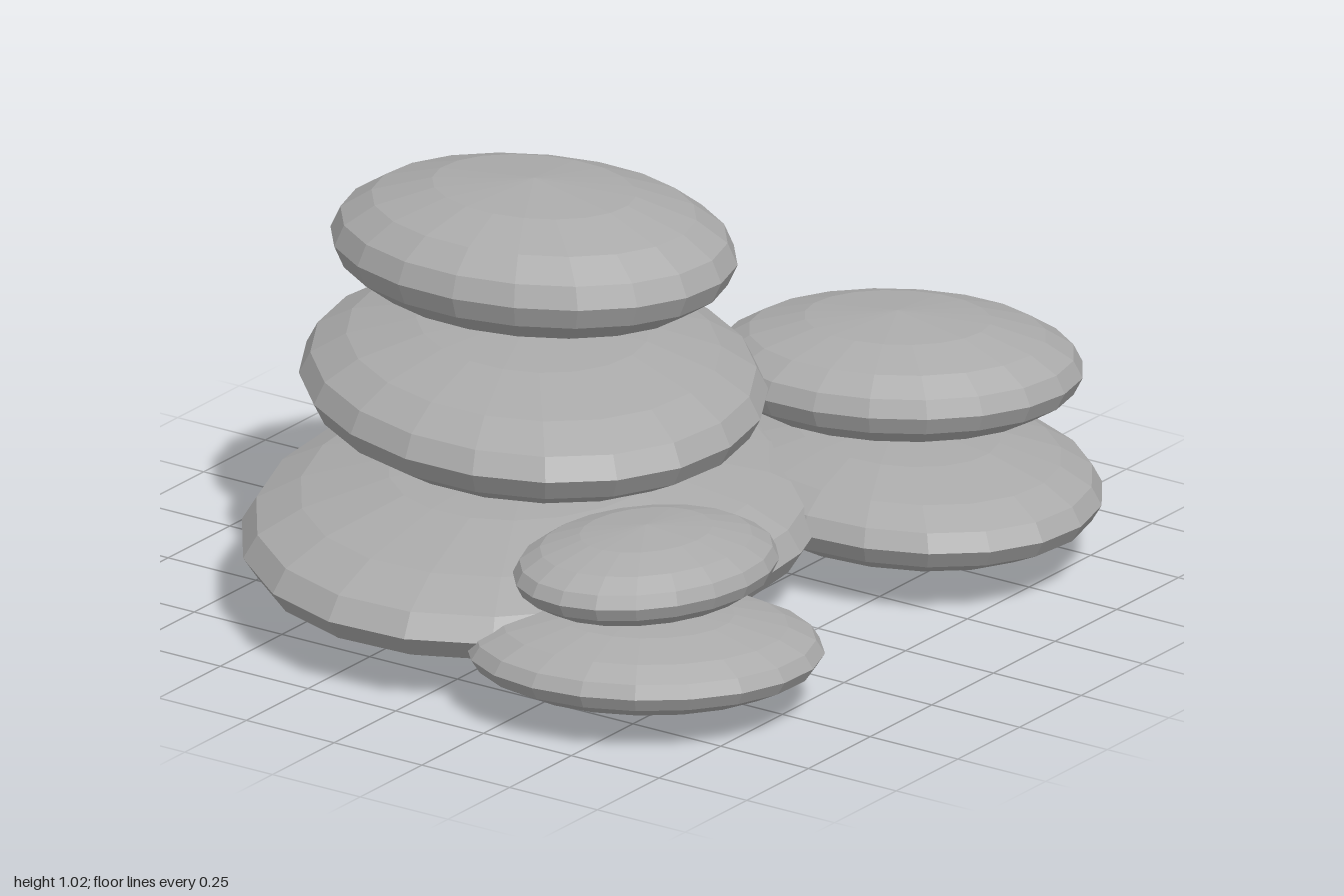
import * as THREE from 'three';

export function createModel() {
  const model = new THREE.Group();
  model.name = 'stackedStones';
  const stone = new THREE.MeshStandardMaterial({ color: 0xaaaaaa, flatShading: true });
  stone.name = 'stoneGrey';

  // Rounded pebble profile: broad shallow caps and tighter bands near the rim
  const latitudes = [-90, -60, -37, -18, 0, 18, 37, 60, 90];
  const profile = latitudes.map((deg) => {
    const t = THREE.MathUtils.degToRad(deg);
    return new THREE.Vector2(Math.abs(deg) === 90 ? 0 : Math.cos(t), Math.sin(t));
  });
  const pebble = new THREE.LatheGeometry(profile, 20);

  // name, centre [x, z], bottom and top height, half length, half width, turn in degrees
  const addStone = (name, [x, z], [bottom, top], length, width, turn) => {
    const mesh = new THREE.Mesh(pebble, stone);
    mesh.name = name;
    mesh.position.set(x, (bottom + top) / 2, z);
    mesh.scale.set(length, (top - bottom) / 2, width);
    mesh.rotation.y = THREE.MathUtils.degToRad(turn);
    model.add(mesh);
  };

  // Main stack
  addStone('mainStoneBottom', [-0.15, -0.2], [0, 0.345], 0.85, 0.664, 14);
  addStone('mainStoneMiddle', [-0.15, -0.205], [0.34, 0.68], 0.672, 0.535, 52);
  addStone('mainStoneTop', [-0.155, -0.2], [0.68, 1.02], 0.5, 0.393, 96);

  // Left stack
  addStone('leftStoneBottom', [0.55, 0.34], [0.035, 0.31], 0.552, 0.435, 73);
  addStone('leftStoneTop', [0.55, 0.34], [0.31, 0.585], 0.44, 0.35, -66);

  // Right stack
  addStone('rightStoneBottom', [-0.643, 0.46], [0.04, 0.25], 0.42, 0.336, -59);
  addStone('rightStoneTop', [-0.64, 0.46], [0.25, 0.455], 0.336, 0.266, -17);

  return model;
}
